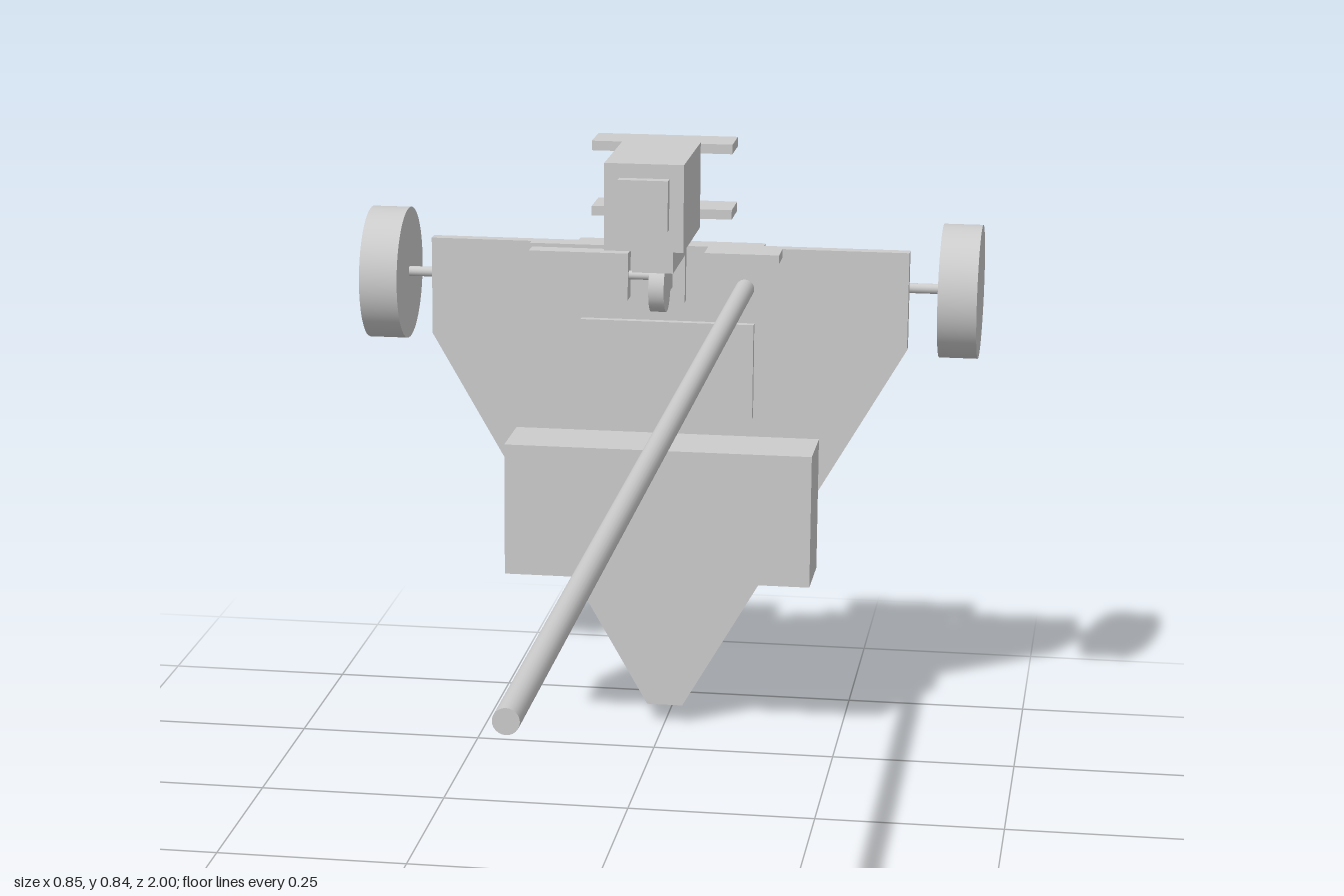
import * as THREE from 'three';

export function createModel() {
  const model = new THREE.Group();
  const mat = new THREE.MeshStandardMaterial({ color: 0xcccccc });

  const add = (name, geometry) => {
    const mesh = new THREE.Mesh(geometry, mat);
    mesh.name = name;
    model.add(mesh);
    return mesh;
  };
  // Box from its minimum and maximum corners
  const box = (name, x0, x1, y0, y1, z0, z1) =>
    add(name, new THREE.BoxGeometry(x1 - x0, y1 - y0, z1 - z0)
      .translate((x0 + x1) / 2, (y0 + y1) / 2, (z0 + z1) / 2));
  // Cylinder along x
  const rodX = (name, r, x0, x1, y, z, sides = 48) =>
    add(name, new THREE.CylinderGeometry(r, r, Math.abs(x1 - x0), sides)
      .rotateZ(Math.PI / 2).translate((x0 + x1) / 2, y, z));
  // Side profile of [z, y] points, extruded along x
  const profileX = (name, points, x0, x1) => {
    const shape = new THREE.Shape(points.map(([z, y]) => new THREE.Vector2(-z, y)));
    return add(name, new THREE.ExtrudeGeometry(shape, { depth: x1 - x0, bevelEnabled: false })
      .rotateY(Math.PI / 2).translate(x0, 0, 0));
  };

  // Tapered chassis plate
  const outline = [[-0.33, 0.69], [-0.33, 0.555], [-0.025, 0.027],
    [0.025, 0.027], [0.33, 0.555], [0.33, 0.69]];
  const plate = new THREE.Shape(outline.map(([x, y]) => new THREE.Vector2(x, y)));
  add('chassisPlate', new THREE.ExtrudeGeometry(plate, { depth: 0.018, bevelEnabled: false })
    .translate(0, 0, -0.876));

  // Drive wheels, axles and motors
  for (const s of [-1, 1]) {
    const side = s > 0 ? 'left' : 'right';
    rodX(side + 'Wheel', 0.0915, s * 0.372, s * 0.425, 0.629, -0.909);
    rodX(side + 'Axle', 0.007, s * 0.31, s * 0.38, 0.631, -0.909, 16);
    const [a, b] = s > 0 ? [0.147, 0.317] : [-0.317, -0.147];
    box(side + 'Motor', a, b, 0.595, 0.67, -0.948, -0.876);
  }

  // Trailing caster
  rodX('casterWheel', 0.04, -0.01, 0.01, 0.04, -0.96, 32);
  box('casterMount', -0.022, 0.022, 0.035, 0.092, -0.884, -0.876);
  for (const x of [-0.019, 0.014]) {
    profileX('casterFork', [[-0.88, 0.088], [-0.955, 0.062], [-0.972, 0.055],
      [-0.975, 0.04], [-0.962, 0.028], [-0.88, 0.036]], x, x + 0.005);
  }
  rodX('casterPin', 0.006, -0.021, 0.021, 0.043, -0.96, 12);

  // Battery, control board and rear stiffener
  box('battery', -0.212, 0.212, 0.24, 0.425, -0.858, -0.76);
  box('controlBoard', -0.12, 0.12, 0.453, 0.585, -0.858, -0.847);
  box('rearStrip', -0.127, 0.13, 0.645, 0.69, -0.893, -0.876);

  // Tilt servo with its crank
  box('servoMount', -0.19, 0.025, 0.614, 0.69, -0.858, -0.845);
  box('tiltServo', -0.187, -0.05, 0.62, 0.685, -0.845, -0.818);
  rodX('tiltShaft', 0.006, -0.055, -0.01, 0.653, -0.83, 16);
  rodX('tiltCrank', 0.035, -0.013, 0.008, 0.648, -0.79, 32);
  box('crankArm', -0.013, 0.008, 0.635, 0.683, -0.85, -0.79);

  // Beam pole and its small shelf
  add('pole', new THREE.CylinderGeometry(0.013, 0.013, 1.858, 24)
    .rotateX(Math.PI / 2).translate(0.106, 0.633, 0.071));
  box('poleShelf', 0.055, 0.157, 0.678, 0.69, -0.858, -0.815);

  // Pan servo and neck
  box('panServo', -0.03, 0.025, 0.68, 0.72, -0.85, -0.722);
  rodX('neckPivot', 0.012, -0.02, 0.02, 0.705, -0.855, 16);
  add('neck', new THREE.CylinderGeometry(0.014, 0.014, 0.012, 24).translate(-0.002, 0.723, -0.78));
  box('neckPost', -0.018, 0.018, 0.69, 0.74, -0.862, -0.845);

  // Camera head with its lens frame and rear cross bars
  box('head', -0.055, 0.05, 0.727, 0.843, -0.805, -0.635);
  box('lensFrame', -0.035, 0.031, 0.757, 0.824, -0.635, -0.62);
  for (const y of [0.739, 0.828]) {
    box('crossBar', -0.098, 0.093, y, y + 0.013, -0.866, -0.805);
  }
  for (const x of [-0.02, 0.016]) {
    add('barStandoff', new THREE.CylinderGeometry(0.007, 0.007, 0.078, 16)
      .translate(x, 0.79, -0.825));
  }

  return model;
}
